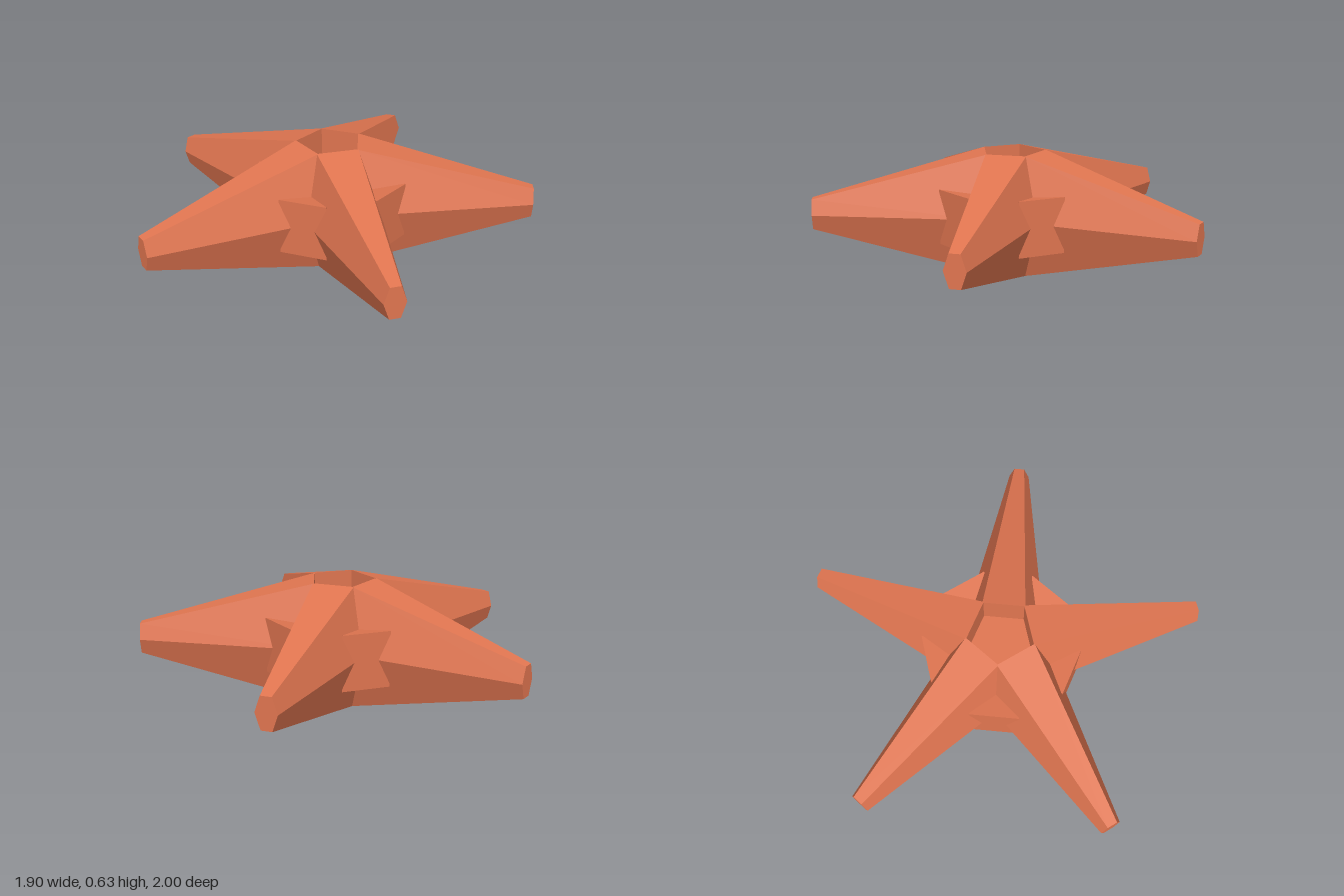
import * as THREE from 'three';

const ARMS = 5;
const MID_Y = 0.315;    // height of the horizontal symmetry plane
const CENTRE_X = -0.084; // star axis, offset so the bounds are centred

// Unshared vertices give crisp facets
function faceted(geometry) {
  const g = geometry.toNonIndexed();
  g.computeVertexNormals();
  return g;
}

// Tapered prism lying along +x, from inner radius x0 to outer radius x1
function radialPrism(r0, r1, x0, x1, sides, thetaStart, scaleY, scaleZ) {
  const g = new THREE.CylinderGeometry(r1, r0, x1 - x0, sides, 1, false, thetaStart);
  g.rotateZ(-Math.PI / 2);
  g.scale(1, scaleY, scaleZ);
  g.translate((x0 + x1) / 2, 0, 0);
  return faceted(g);
}

export function createModel() {
  const model = new THREE.Group();
  model.name = 'star';
  const coral = new THREE.MeshStandardMaterial({ color: 0xe07550 });
  coral.name = 'coral';

  const body = new THREE.Group();
  body.name = 'starBody';
  body.position.set(CENTRE_X, MID_Y, 0);
  model.add(body);

  const add = (geometry, name, angle = 0) => {
    const mesh = new THREE.Mesh(geometry, coral);
    mesh.name = name;
    mesh.rotation.y = angle;
    body.add(mesh);
  };

  // Recessed five-sided core between the arm roots
  add(faceted(new THREE.CylinderGeometry(0.172, 0.172, 0.28, 5, 1, false, -Math.PI / 2)), 'hub');

  // Six-sided arms, tall at the root and narrowing to a quarter at the tip
  const stretch = 0.315 / (0.21 * Math.sin(Math.PI / 3));
  const arm = radialPrism(0.21, 0.0525, 0.138, 1.032, 6, 0, stretch, 1);

  // Blocks wedged into the notches between the arms
  const block = radialPrism(0.75 * Math.SQRT2, Math.SQRT2, 0.15, 0.38, 4, Math.PI / 4, 0.143, 0.122);

  for (let i = 0; i < ARMS; i++) {
    const angle = (i * 2 * Math.PI) / ARMS;
    add(arm, 'arm', angle);
    add(block, 'notchBlock', angle + Math.PI / ARMS);
  }
  return model;
}
